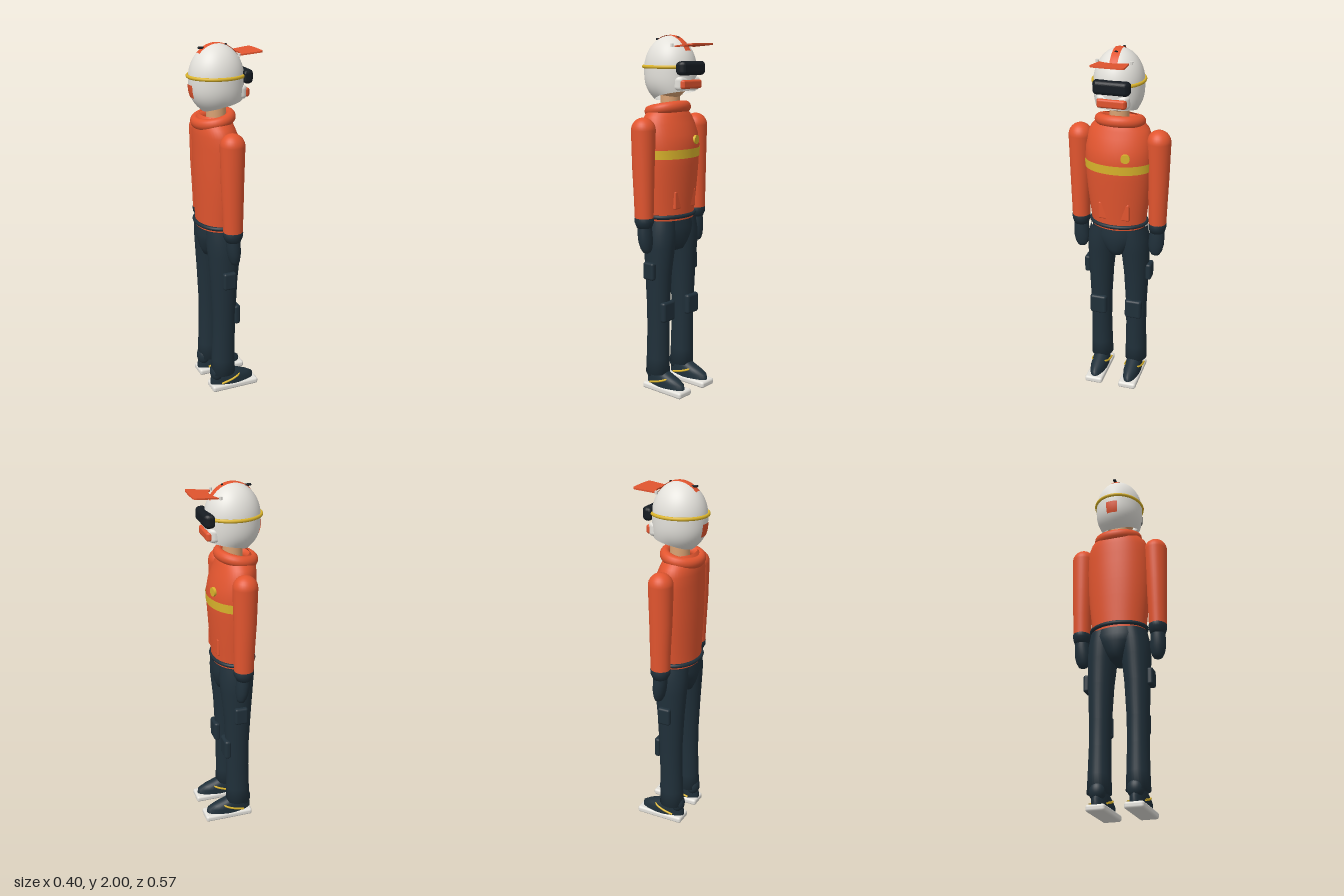
import * as THREE from 'three';
import { mergeVertices } from 'three/addons/utils/BufferGeometryUtils.js';
import { RoundedBoxGeometry } from 'three/addons/geometries/RoundedBoxGeometry.js';

const material = (name, color, side = THREE.FrontSide) => {
  const m = new THREE.MeshStandardMaterial({ color, side });
  m.name = name;
  return m;
};

// Grid surface from fn(u, v); u and v run 0..1
function surface(fn, nu, nv) {
  const pos = [], index = [];
  for (let j = 0; j <= nv; j++) for (let i = 0; i <= nu; i++) pos.push(...fn(i / nu, j / nv));
  for (let j = 0; j < nv; j++) for (let i = 0; i < nu; i++) {
    const a = j * (nu + 1) + i, b = a + nu + 1;
    index.push(a, a + 1, b, a + 1, b + 1, b);
  }
  let g = new THREE.BufferGeometry();
  g.setAttribute('position', new THREE.Float32BufferAttribute(pos, 3));
  g.setIndex(index);
  g = mergeVertices(g, 1e-5);
  g.computeVertexNormals();
  return g;
}

// Rows are [y, centreX, centreZ, radiusX, radiusZ], listed from top to bottom
function sample(rows, y) {
  let i = 0;
  while (i < rows.length - 2 && y < rows[i + 1][0]) i++;
  const a = rows[i], b = rows[i + 1], t = (y - a[0]) / (b[0] - a[0]);
  return a.map((v, k) => v + (b[k] - v) * t);
}
function loft(rows, n = 40) {
  return surface((u, v) => {
    const [y, cx, cz, rx, rz] = rows[Math.round(v * (rows.length - 1))], a = u * Math.PI * 2;
    return [cx + rx * Math.cos(a), y, cz + rz * Math.sin(a)];
  }, n, rows.length - 1);
}

// Box bent backwards at its sides
function bentBox(x, y, z, r, bend) {
  const g = new RoundedBoxGeometry(x, y, z, 6, r), p = g.attributes.position;
  // spread the side points so the front curves evenly
  for (let i = 0; i < p.count; i++) p.setX(i, p.getX(i) - bend * p.getZ(i) ** 2);
  g.computeVertexNormals();
  return g;
}

// Helmet shell: dome above, tapered skirt below, lower edge raised at the front
const HX = -0.036;
function helmetPoint(a, y, off = 0) {
  const c = Math.cos(a);
  const f = y > 1.82 ? Math.sqrt(Math.max(0, 1 - ((y - 1.82) / 0.18) ** 2))
    : 1 - (0.48 - 0.38 * Math.max(0, c)) * ((1.82 - y) / 0.17) ** 3;
  return [HX + (0.15 * f + off) * c, y, (0.135 * f + off) * Math.sin(a)];
}

export function createModel() {
  const model = new THREE.Group();
  model.name = 'rider';
  const orange = material('orange', 0xe2552f, THREE.DoubleSide);
  const yellow = material('yellow', 0xdcb52c, THREE.DoubleSide);
  const navy = material('navy', 0x20303a);
  const white = material('white', 0xe3e1db, THREE.DoubleSide);
  const skin = material('skin', 0xd9a273);
  const black = material('black', 0x161c22);

  const add = (name, geo, mat, x = 0, y = 0, z = 0) => {
    const m = new THREE.Mesh(geo, mat);
    m.name = name;
    m.position.set(x, y, z);
    model.add(m);
    return m;
  };
  const ellipsoid = (name, mat, x, y, z, rx, ry, rz) =>
    add(name, new THREE.SphereGeometry(1, 32, 20), mat, x, y, z).scale.set(rx, ry, rz);

  // Jacket
  const torso = [
    [1.63, -0.055, 0, 0.07, 0.1], [1.6, -0.055, 0, 0.092, 0.13], [1.57, -0.053, 0, 0.102, 0.16],
    [1.53, -0.047, 0, 0.112, 0.177], [1.47, -0.035, 0, 0.123, 0.186], [1.4, -0.029, 0, 0.13, 0.188],
    [1.3, -0.031, 0, 0.127, 0.183], [1.2, -0.033, 0, 0.122, 0.175], [1.1, -0.035, 0, 0.116, 0.163],
    [1.0, -0.037, 0, 0.111, 0.152],
  ];
  add('jacket', loft(torso, 48), orange);
  add('chestBand', surface((u, v) => {
    const [y, cx, , rx, rz] = sample(torso, 1.395 - 0.05 * v), a = (u - 0.5) * Math.PI;
    return [cx + (rx + 0.003) * Math.cos(a), y, (rz + 0.003) * Math.sin(a)];
  }, 32, 2), yellow);
  const collar = add('collar', new THREE.TorusGeometry(1, 0.28, 16, 40).rotateX(Math.PI / 2), orange, -0.055, 1.605, 0);
  collar.scale.set(0.094, 0.11, 0.109);
  collar.rotation.z = 0.2;
  const hem = add('hem', new THREE.TorusGeometry(1, 0.09, 10, 48).rotateX(Math.PI / 2), navy, -0.038, 1.022, 0);
  hem.scale.set(0.115, 0.13, 0.155);
  add('frontPouch', bentBox(0.018, 0.1, 0.18, 0.008, 2.2), orange, 0.081, 1.115, 0);
  const badge = add('badge', new THREE.CylinderGeometry(0.025, 0.025, 0.014, 24).rotateZ(Math.PI / 2), yellow, 0.09, 1.44, -0.069);
  badge.rotation.y = 0.2;

  // Trousers seat
  add('trouserSeat', loft([
    [1.01, -0.037, 0, 0.105, 0.15], [0.96, -0.037, 0, 0.112, 0.155], [0.92, -0.035, 0, 0.11, 0.13],
    [0.87, -0.033, 0, 0.1, 0.085], [0.83, -0.033, 0, 0.08, 0.05], [0.8, -0.033, 0, 0.001, 0.001],
  ]), navy);

  for (const s of [1, -1]) {
    const side = s > 0 ? 'left' : 'right';
    // Arm with rounded shoulder, cuff and mitten
    const arm = [];
    for (let i = 0; i <= 8; i++) {
      const a = i / 8 * Math.PI / 2;
      arm.push([1.505 + 0.067 * Math.cos(a), -0.037, 0.22 * s, 0.067 * Math.sin(a), 0.066 * Math.sin(a)]);
    }
    arm.push([1.3, -0.037, 0.222 * s, 0.062, 0.059], [1.15, -0.034, 0.223 * s, 0.057, 0.053], [1.02, -0.033, 0.223 * s, 0.053, 0.049]);
    add(side + 'Sleeve', loft(arm, 32), orange);
    add(side + 'Cuff', loft([
      [1.035, -0.033, 0.223 * s, 0.048, 0.044], [1.028, -0.033, 0.223 * s, 0.056, 0.051],
      [1.005, -0.033, 0.223 * s, 0.055, 0.05], [0.975, -0.032, 0.223 * s, 0.04, 0.042], [0.97, -0.032, 0.223 * s, 0.001, 0.001],
    ], 28), navy);
    add(side + 'Mitten', loft([
      [1.0, -0.032, 0.222 * s, 0.035, 0.038], [0.95, -0.03, 0.222 * s, 0.039, 0.043], [0.9, -0.026, 0.22 * s, 0.036, 0.045],
      [0.86, -0.022, 0.218 * s, 0.029, 0.037], [0.838, -0.019, 0.218 * s, 0.019, 0.024], [0.829, -0.018, 0.218 * s, 0.001, 0.001],
    ], 28), navy);

    // Trouser leg
    add(side + 'Leg', loft([
      [1.0, -0.036, 0.085 * s, 0.095, 0.075], [0.93, -0.034, 0.092 * s, 0.098, 0.083], [0.85, -0.033, 0.098 * s, 0.092, 0.081],
      [0.7, -0.036, 0.104 * s, 0.078, 0.071], [0.5, -0.036, 0.106 * s, 0.068, 0.061], [0.35, -0.038, 0.106 * s, 0.066, 0.059],
      [0.2, -0.041, 0.106 * s, 0.068, 0.062], [0.105, -0.042, 0.106 * s, 0.072, 0.065], [0.1, -0.042, 0.106 * s, 0.001, 0.001],
    ], 32), navy);
    add(side + 'KneePad', bentBox(0.035, 0.115, 0.1, 0.014, 3), navy, 0.036, 0.482, 0.105 * s);
    add(side + 'ThighPocket', new RoundedBoxGeometry(0.075, 0.1, 0.035, 4, 0.013), navy, -0.034, 0.72, 0.181 * s);

    // Shoe on a flat sole
    add(side + 'Sole', new RoundedBoxGeometry(0.285, 0.038, 0.106, 4, 0.014), white, 0.0225, 0.019, 0.103 * s);
    add(side + 'Shoe', loft([
      [0.13, -0.05, 0.103 * s, 0.055, 0.036], [0.105, -0.025, 0.103 * s, 0.085, 0.041], [0.085, 0, 0.103 * s, 0.112, 0.045],
      [0.065, 0.014, 0.103 * s, 0.132, 0.048], [0.035, 0.016, 0.103 * s, 0.134, 0.048],
    ], 32), navy);
    ellipsoid(side + 'Heel', navy, -0.08, 0.11, 0.103 * s, 0.04, 0.055, 0.045);
    const strap = [[-0.065, 0.05, 0.048], [0, 0.068, 0.05], [0.045, 0.085, 0.038], [0.06, 0.092, 0],
      [0.045, 0.085, -0.038], [0, 0.068, -0.05], [-0.065, 0.05, -0.048]]
      .map(([x, y, z]) => new THREE.Vector3(x, y, z + 0.103 * s));
    add(side + 'ShoeStrap', new THREE.TubeGeometry(new THREE.CatmullRomCurve3(strap), 36, 0.006, 8), yellow);
    add(side + 'ShoeBuckle', new RoundedBoxGeometry(0.015, 0.012, 0.024, 2, 0.004), white, 0.058, 0.096, 0.103 * s);

    // Visor bolt
    add(side + 'VisorBolt', new THREE.CylinderGeometry(0.008, 0.008, 0.016, 12), white, 0.054, 1.948, 0.091 * s);
  }

  // Head and neck
  ellipsoid('head', skin, -0.03, 1.795, 0, 0.105, 0.135, 0.1);
  add('neck', new THREE.CylinderGeometry(0.052, 0.054, 0.16, 24), skin, -0.037, 1.645, 0);

  // Helmet
  add('helmetShell', surface((u, v) => {
    const a = u * Math.PI * 2, low = 1.68 + 0.03 * Math.cos(a);
    const y = v < 0.55 ? 1.82 + 0.18 * Math.cos(v / 0.55 * Math.PI / 2) : 1.82 + (low - 1.82) * (v - 0.55) / 0.45;
    return helmetPoint(a, y);
  }, 48, 32), white);
  add('crownStripe', surface((u, v) => {
    const z = (u - 0.5) * 0.043, x = -0.102 + 0.228 * v;
    return [HX + x, 1.824 + 0.18 * Math.sqrt(1 - (x / 0.15) ** 2 - (z / 0.135) ** 2), z];
  }, 4, 28), orange);
  add('backPatch', surface((u, v) => helmetPoint(Math.PI + (u - 0.5) * 0.5, 1.795 - 0.07 * v, 0.003), 8, 6), orange);
  const vent = add('rearVent', new RoundedBoxGeometry(0.054, 0.012, 0.017, 3, 0.005), black, -0.11, 1.979, 0);
  vent.rotation.z = -0.1;
  add('topVent', new THREE.BoxGeometry(0.008, 0.008, 0.016), black, 0.019, 1.991, 0);

  // Chin guard
  add('chinGuard', bentBox(0.06, 0.072, 0.18, 0.02, 4), white, 0.1, 1.748, 0);
  add('chinPanel', bentBox(0.045, 0.047, 0.16, 0.012, 4), orange, 0.122, 1.744, 0);

  // Goggles and their strap
  add('goggles', bentBox(0.055, 0.074, 0.2, 0.022, 2.5), black, 0.128, 1.829, 0);
  const band = add('goggleStrap', new THREE.TorusGeometry(1, 0.055, 10, 56).rotateX(Math.PI / 2), yellow, HX, 1.835, 0);
  band.scale.set(0.154, 0.17, 0.137);

  // Visor peak
  const peak = new THREE.Shape();
  peak.moveTo(0, -0.078);
  peak.lineTo(0.118, -0.091);
  peak.quadraticCurveTo(0.134, -0.09, 0.136, -0.07);
  peak.quadraticCurveTo(0.14, 0, 0.136, 0.07);
  peak.quadraticCurveTo(0.134, 0.09, 0.118, 0.091);
  peak.lineTo(0, 0.078);
  peak.quadraticCurveTo(0.055, 0, 0, -0.078);
  const visor = add('visorPeak', new THREE.ExtrudeGeometry(peak, { depth: 0.008, bevelEnabled: false, curveSegments: 12 }).rotateX(Math.PI / 2), orange, 0.06, 1.947, 0);
  visor.rotation.z = 0.09;
  return model;
}
